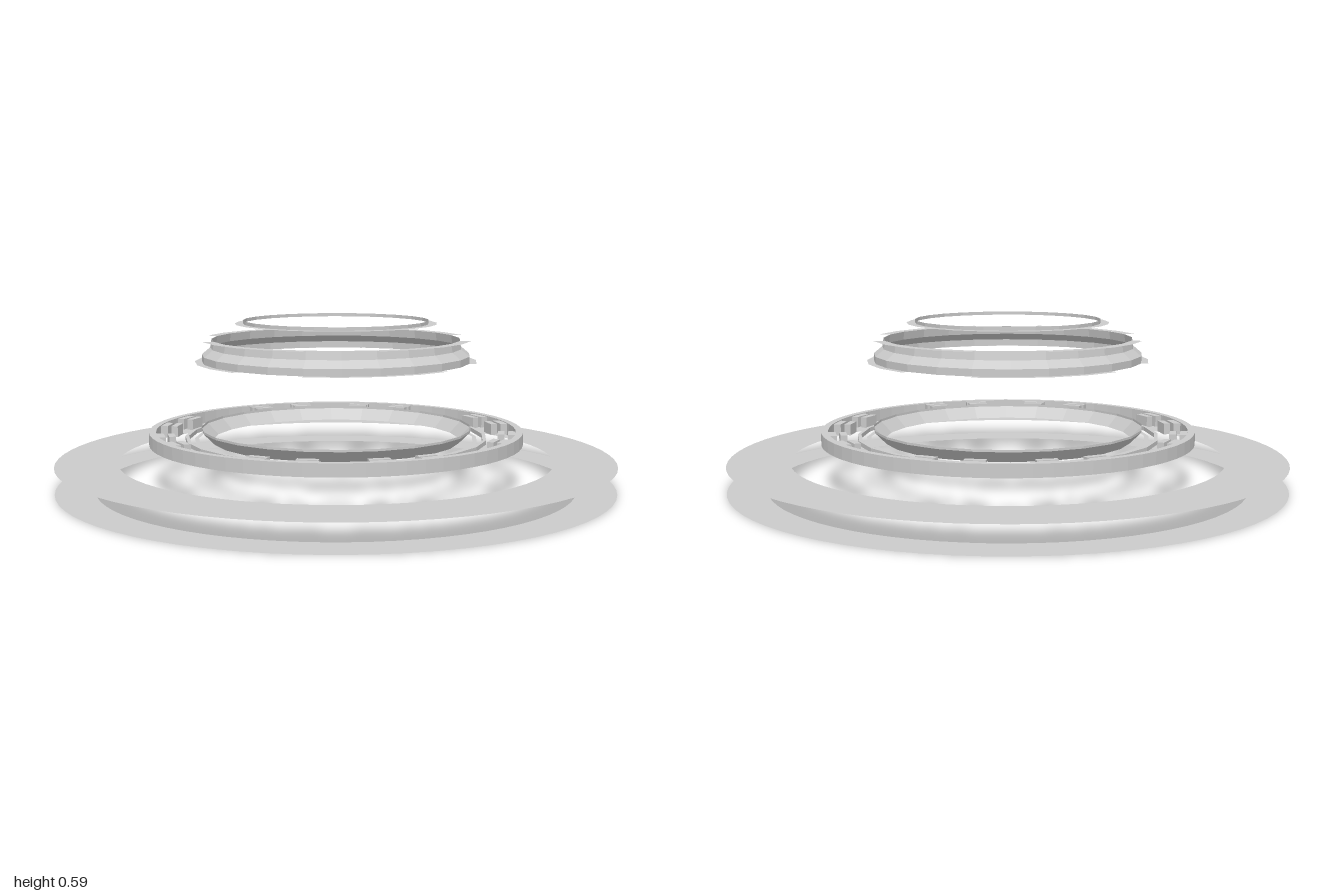
import * as THREE from 'three';

export function createModel() {
  const model = new THREE.Group();
  const flat = new THREE.MeshStandardMaterial({ color: 0xcccccc, side: THREE.DoubleSide, flatShading: true });

  const add = (name, geometry, parent = model) => {
    const mesh = new THREE.Mesh(geometry, flat);
    mesh.name = name;
    parent.add(mesh);
    return mesh;
  };

  // Revolve a profile of [radius, height] pairs, over a full turn or an arc
  const turn = (name, profile, sides = 24, start = 0, sweep = Math.PI * 2, parent = model) =>
    add(name, new THREE.LatheGeometry(profile.map(([r, y]) => new THREE.Vector2(r, y)), sides, start, sweep), parent);

  // Closed ring of rectangular section
  const band = (name, inner, outer, low, high, sides) =>
    turn(name, [[inner, low], [outer, low], [outer, high], [inner, high], [inner, low]], sides);

  // Wide flat base plates
  turn('lowerPlate', [[1, 0], [0.86, 0]], 72);
  turn('upperPlate', [[1, 0.094], [0.78, 0.094]], 72);

  // Outer collar and the thin rings inside it
  band('outerCollar', 0.645, 0.67, 0.155, 0.2, 64);
  band('middleRing', 0.53, 0.543, 0.16, 0.175, 24);
  turn('innerRing', [[0.51, 0.165], [0.495, 0.165]]);
  turn('innerCone', [[0.445, 0.16], [0.485, 0.2], [0.485, 0.208]]);

  // Lugs on the collar, each with a loose block in front of it
  const lugs = new THREE.Group();
  lugs.name = 'lugs';
  model.add(lugs);
  for (let quarter = 0; quarter < 4; quarter++) {
    for (const degrees of [-27, -11, 11, 27]) {
      const pair = new THREE.Group();
      pair.name = 'lugPair';
      pair.rotation.y = quarter * Math.PI / 2 + THREE.MathUtils.degToRad(degrees);
      lugs.add(pair);
      add('lug', new THREE.BoxGeometry(0.08, 0.04, 0.033), pair).position.set(0, 0.177, 0.634);
      add('lugBlock', new THREE.BoxGeometry(0.072, 0.04, 0.024), pair).position.set(0, 0.177, 0.593);
    }
  }

  // Stepped collar floating above
  turn('steppedCollar', [[0.48, 0.445], [0.48, 0.47], [0.45, 0.495], [0.445, 0.525]]);

  // Flat flange segments along its upper and lower edges
  const flanges = new THREE.Group();
  flanges.name = 'flanges';
  model.add(flanges);
  for (let i = 0; i < 4; i++) {
    const start = i * Math.PI / 2 + 0.26;
    turn('upperFlange', [[0.485, 0.525], [0.445, 0.525]], 4, start, Math.PI / 3, flanges);
    turn('lowerFlange', [[0.505, 0.445], [0.475, 0.445]], 4, start - 0.52, Math.PI / 3, flanges);
  }

  // Thin top ring with a short inner wall
  turn('topRing', [[0.362, 0.58], [0.332, 0.58], [0.332, 0.592]]);
  return model;
}
